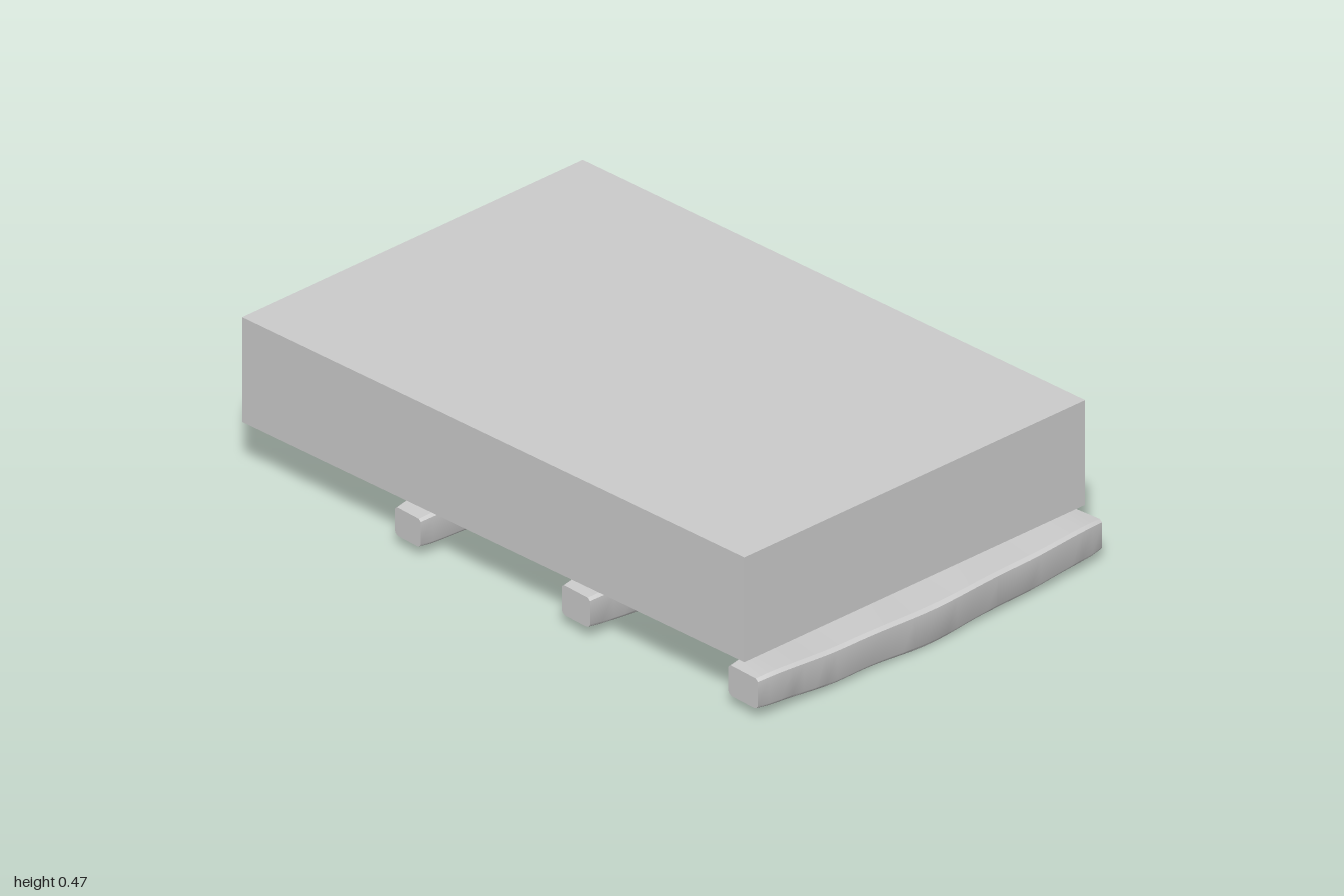
import * as THREE from 'three';
import { toCreasedNormals } from 'three/addons/utils/BufferGeometryUtils.js';

const material = new THREE.MeshStandardMaterial({ color: 0xcccccc });
const HALF = 0.643; // half length of a beam

// Each row is [left, right, bottom, top] of the beam, spaced evenly from back to front
const beams = [
  ['rightBeam', [
    [-0.415, -0.295, 0.035, 0.135], [-0.43, -0.282, 0.03, 0.14], [-0.433, -0.283, 0.025, 0.144],
    [-0.43, -0.29, 0.028, 0.135], [-0.42, -0.305, 0.032, 0.127]]],
  ['middleBeam', [
    [0.225, 0.35, 0.03, 0.13], [0.215, 0.358, 0.02, 0.13], [0.21, 0.358, 0.01, 0.128],
    [0.212, 0.352, 0.017, 0.126], [0.215, 0.34, 0.033, 0.133]]],
  ['leftBeam', [
    [0.86, 0.977, 0.027, 0.132], [0.852, 0.988, 0.016, 0.125], [0.85, 0.998, 0.004, 0.12],
    [0.848, 0.99, 0.012, 0.122], [0.85, 0.982, 0.03, 0.132]]],
];

// Unit square with clipped corners, shared by all beams
function beamSection() {
  const c = 0.13, h = 0.5;
  const s = new THREE.Shape();
  s.moveTo(-h + c, -h);
  s.lineTo(h - c, -h);
  s.quadraticCurveTo(h - c * 0.2, -h + c * 0.2, h, -h + c);
  s.lineTo(h, h - c * 0.6);
  s.lineTo(h - c * 0.6, h);
  s.lineTo(-h + c * 0.6, h);
  s.lineTo(-h, h - c * 0.6);
  s.lineTo(-h, -h + c);
  s.quadraticCurveTo(-h + c * 0.2, -h + c * 0.2, -h + c, -h);
  return s;
}

// Rough hewn beam: an extrusion fitted to the rows, with a slight hand-cut waviness
function makeBeam(name, rows, phase) {
  const geo = new THREE.ExtrudeGeometry(beamSection(), {
    depth: 1, steps: 32, curveSegments: 3, bevelEnabled: false,
  });
  const p = geo.attributes.position;
  for (let i = 0; i < p.count; i++) {
    const u = p.getX(i), v = p.getY(i), t = p.getZ(i);
    const k = Math.min(Math.floor(t * 4), 3);
    const f = THREE.MathUtils.smoothstep(t * 4 - k, 0, 1);
    const [l, r, b, top] = rows[k].map((a, j) => THREE.MathUtils.lerp(a, rows[k + 1][j], f));
    const fade = Math.sin(Math.PI * t);
    // Ends narrow a little, as if worn
    const end = 1 - 0.1 * Math.pow(Math.abs(2 * t - 1), 24);
    const wobble = 0.003 * fade * Math.sin(t * 23 + phase + u * 2);
    p.setXYZ(i,
      (l + r) / 2 + u * (r - l) * end + wobble * v,
      (b + top) / 2 + v * (top - b) * end + wobble * u,
      (t * 2 - 1) * HALF + 0.006 * u * Math.sign(t - 0.5) * (1 - fade));
  }
  const mesh = new THREE.Mesh(toCreasedNormals(geo, 0.6), material);
  mesh.name = name;
  return mesh;
}

export function createModel() {
  const model = new THREE.Group();
  model.name = 'slabOnBeams';

  // Plain slab resting above the beams
  const slab = new THREE.Mesh(new THREE.BoxGeometry(1.915, 0.317, 1.276), material);
  slab.name = 'slab';
  slab.position.set(-0.0425, 0.3125, 0);
  model.add(slab);

  beams.forEach(([name, rows], i) => model.add(makeBeam(name, rows, i * 2.1)));
  return model;
}
